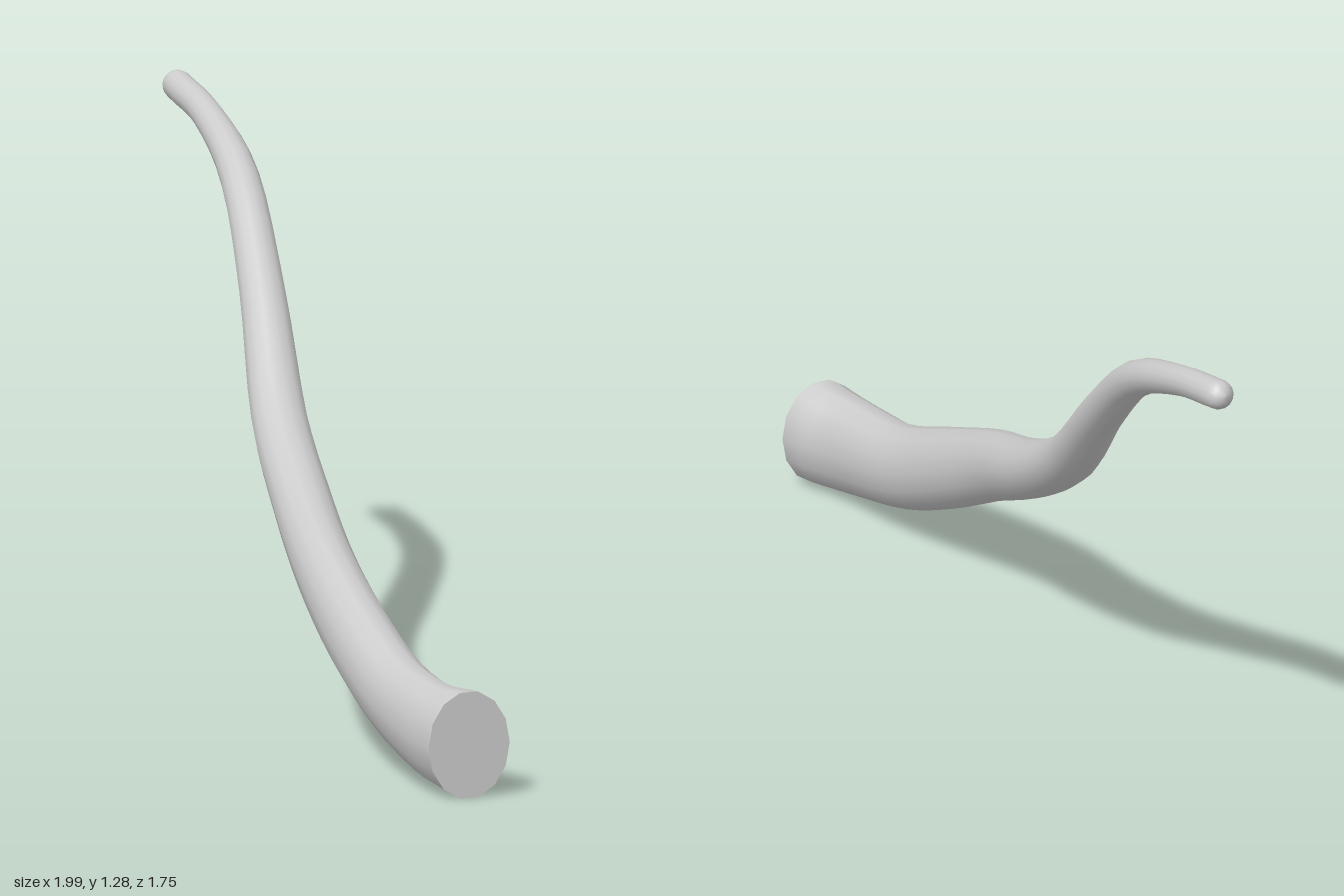
import * as THREE from 'three';

// Centreline from tip to base: x, y, z, half width, half height
const SECTIONS = [
  [-0.963, 1.246, -0.838, 0.037, 0.037],
  [-0.8, 1.207, -0.725, 0.038, 0.038],
  [-0.6, 1.105, -0.558, 0.048, 0.046],
  [-0.4, 0.89, -0.348, 0.056, 0.053],
  [-0.2, 0.647, -0.115, 0.068, 0.062],
  [0, 0.495, 0.088, 0.073, 0.072],
  [0.2, 0.385, 0.288, 0.075, 0.087],
  [0.4, 0.275, 0.45, 0.08, 0.099],
  [0.6, 0.183, 0.59, 0.083, 0.104],
  [0.8, 0.142, 0.722, 0.089, 0.12],
  [0.932, 0.134, 0.785, 0.105, 0.133],
];
const SIDES = 14;
const STEPS = 40;
const TIP_RINGS = 4;
const UP = new THREE.Vector3(0, 1, 0);

// One elliptical ring of points, square to the tangent
function ring(centre, tangent, w, h) {
  const side = new THREE.Vector3().crossVectors(tangent, UP).normalize();
  const rise = new THREE.Vector3().crossVectors(side, tangent);
  return Array.from({ length: SIDES }, (_, j) => {
    const a = (j / SIDES) * Math.PI * 2;
    return centre.clone()
      .addScaledVector(side, w * Math.cos(a))
      .addScaledVector(rise, h * Math.sin(a));
  });
}

function buildRings() {
  const path = new THREE.CatmullRomCurve3(SECTIONS.map((s) => new THREE.Vector3(s[0], s[1], s[2])), false, 'catmullrom', 0.5);
  const size = new THREE.CatmullRomCurve3(SECTIONS.map((s) => new THREE.Vector3(s[3], s[4], 0)), false, 'catmullrom', 0.5);
  const rings = [];

  // Rounded tip
  const tip = path.getPoint(0);
  const tipDir = path.getTangent(0);
  const r = SECTIONS[0][3];
  for (let k = TIP_RINGS; k > 0; k--) {
    const a = (k / TIP_RINGS) * Math.PI / 2;
    const w = r * Math.cos(a);
    rings.push(ring(tip.clone().addScaledVector(tipDir, -r * Math.sin(a)), tipDir, w, w));
  }

  // Tapering body, ending in an upright cut
  for (let i = 0; i <= STEPS; i++) {
    const t = i / STEPS;
    const s = size.getPoint(t);
    const dir = i === STEPS ? new THREE.Vector3(0.82, 0, 0.575).normalize() : path.getTangent(t);
    rings.push(ring(path.getPoint(t), dir, s.x, s.y));
  }
  return rings;
}

function skin(rings) {
  const index = [];
  for (let i = 0; i < rings.length - 1; i++) {
    for (let j = 0; j < SIDES; j++) {
      const k = (j + 1) % SIDES;
      const a = i * SIDES + j, b = i * SIDES + k;
      const c = a + SIDES, d = b + SIDES;
      if (i > 0) index.push(a, c, b);
      index.push(b, c, d);
    }
  }
  const geometry = new THREE.BufferGeometry().setFromPoints(rings.flat());
  geometry.setIndex(index);
  geometry.computeVertexNormals();
  return geometry;
}

// Flat end face over the last ring
function endFace(points) {
  const index = [];
  for (let j = 1; j < points.length - 1; j++) index.push(0, j + 1, j);
  const geometry = new THREE.BufferGeometry().setFromPoints(points);
  geometry.setIndex(index);
  geometry.computeVertexNormals();
  return geometry;
}

export function createModel() {
  const group = new THREE.Group();
  group.name = 'tail';
  const material = new THREE.MeshStandardMaterial({ color: 0xcccccc });
  const rings = buildRings();

  const body = new THREE.Mesh(skin(rings), material);
  body.name = 'tailBody';
  const cap = new THREE.Mesh(endFace(rings[rings.length - 1]), material);
  cap.name = 'tailBaseCap';
  group.add(body, cap);
  return group;
}
